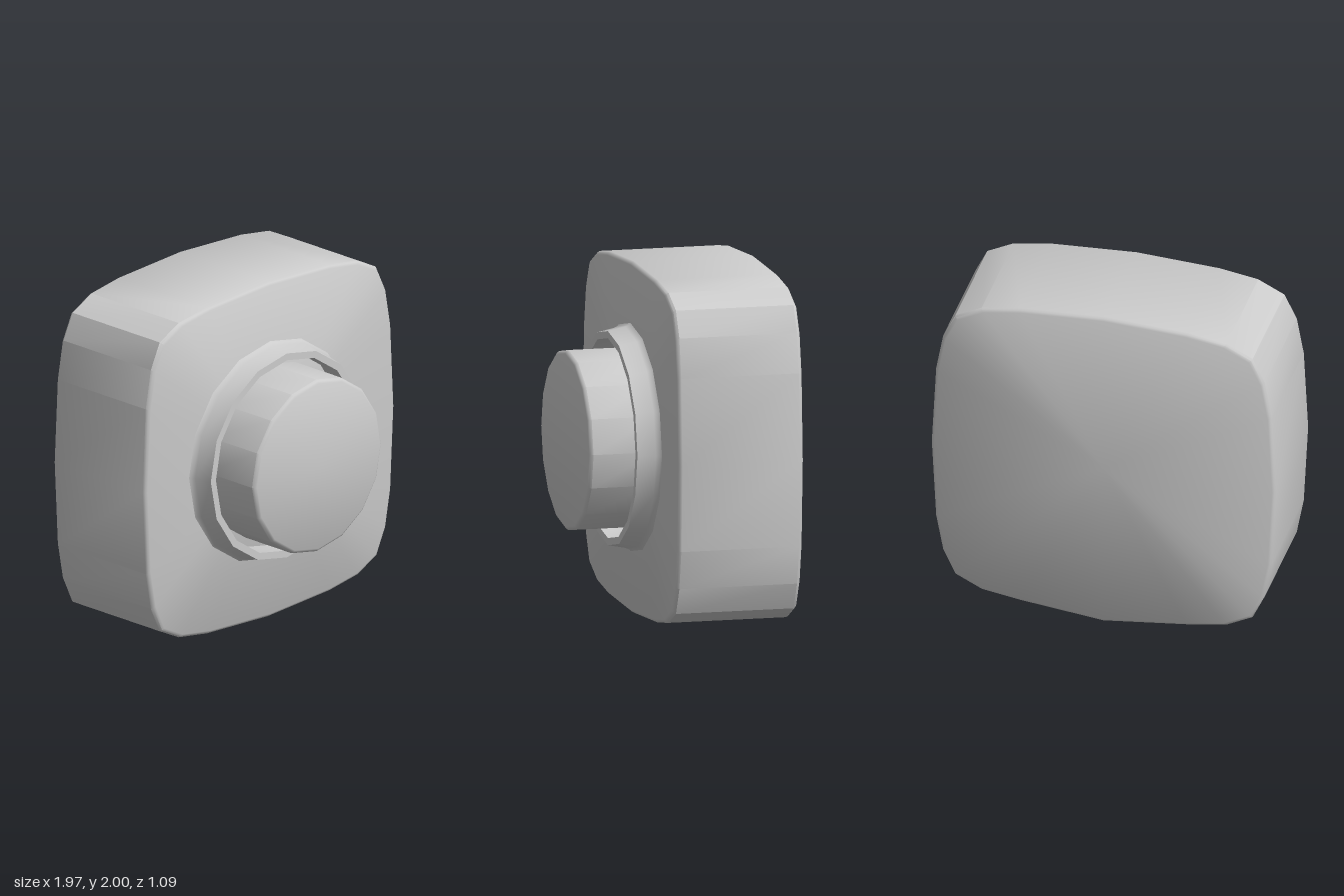
import * as THREE from 'three';
import { toCreasedNormals } from 'three/addons/utils/BufferGeometryUtils.js';

const CENTRE_Y = 1.015;
const CREASE = 0.56;
const material = new THREE.MeshStandardMaterial({ color: 0xcccccc });

function addPart(group, name, geometry) {
  const mesh = new THREE.Mesh(toCreasedNormals(geometry, CREASE), material);
  mesh.name = name;
  group.add(mesh);
}

// Softly bulging square slab, lofted from front to back
function bodyGeometry() {
  // Right half of the outline, bottom to top; the sole slopes down to the back
  const half = (sole) => [
    [0, sole], [0.48, 0.055], [0.7, 0.09], [0.85, 0.165], [0.92, 0.315], [0.96, 0.53],
    [0.985, 1.015], [0.96, 1.5], [0.92, 1.72], [0.85, 1.865], [0.7, 1.94], [0.48, 1.975], [0, 2],
  ];
  // [z, inset, lowest y] for each cross-section
  const sections = [
    [0.17, 0.02, 0.03], [0.1625, 0.0075, 0.03], [0.15, 0, 0.03],
    [-0.525, 0, 0], [-0.5375, 0.0075, 0], [-0.545, 0.02, 0],
  ];
  const positions = [];
  const indices = [];
  let n = 0;
  for (const [z, inset, sole] of sections) {
    const right = half(sole);
    const left = right.slice(1, -1).reverse().map(([x, y]) => [-x, y]);
    const outline = [...right, ...left];
    n = outline.length;
    for (const [x, y] of outline) {
      positions.push(x * (1 - inset), CENTRE_Y + (y - CENTRE_Y) * (1 - inset), z);
    }
  }
  const front = sections.length * n;
  const lastRing = (sections.length - 1) * n;
  positions.push(0, CENTRE_Y, 0.17, 0, CENTRE_Y, -0.545);
  for (let j = 0; j < n; j++) {
    const k = (j + 1) % n;
    for (let r = 0; r < lastRing; r += n) {
      indices.push(r + j, r + n + j, r + n + k, r + j, r + n + k, r + k);
    }
    indices.push(front, j, k, front + 1, lastRing + k, lastRing + j);
  }
  const geometry = new THREE.BufferGeometry();
  geometry.setAttribute('position', new THREE.Float32BufferAttribute(positions, 3));
  geometry.setIndex(indices);
  return geometry;
}

// Sixteen-sided turned part whose axis points to the front; profile is [radius, z]
function turned(profile) {
  return new THREE.LatheGeometry(profile.map(([r, z]) => new THREE.Vector2(r, z)), 16)
    .rotateX(Math.PI / 2)
    .translate(0, CENTRE_Y, 0);
}

export function createModel() {
  const model = new THREE.Group();
  model.name = 'squareKnobBlock';

  addPart(model, 'body', bodyGeometry());

  // Flared collar with an open groove around the knob
  addPart(model, 'collar', turned([
    [0.645, 0.165], [0.63, 0.178], [0.62, 0.2], [0.6, 0.3], [0.56, 0.3], [0.56, 0.165],
  ]));

  // Round knob with a softened front edge
  addPart(model, 'knob', turned([
    [0.505, 0.165], [0.505, 0.525], [0.4975, 0.5375], [0.485, 0.545], [0, 0.545],
  ]));

  return model;
}
